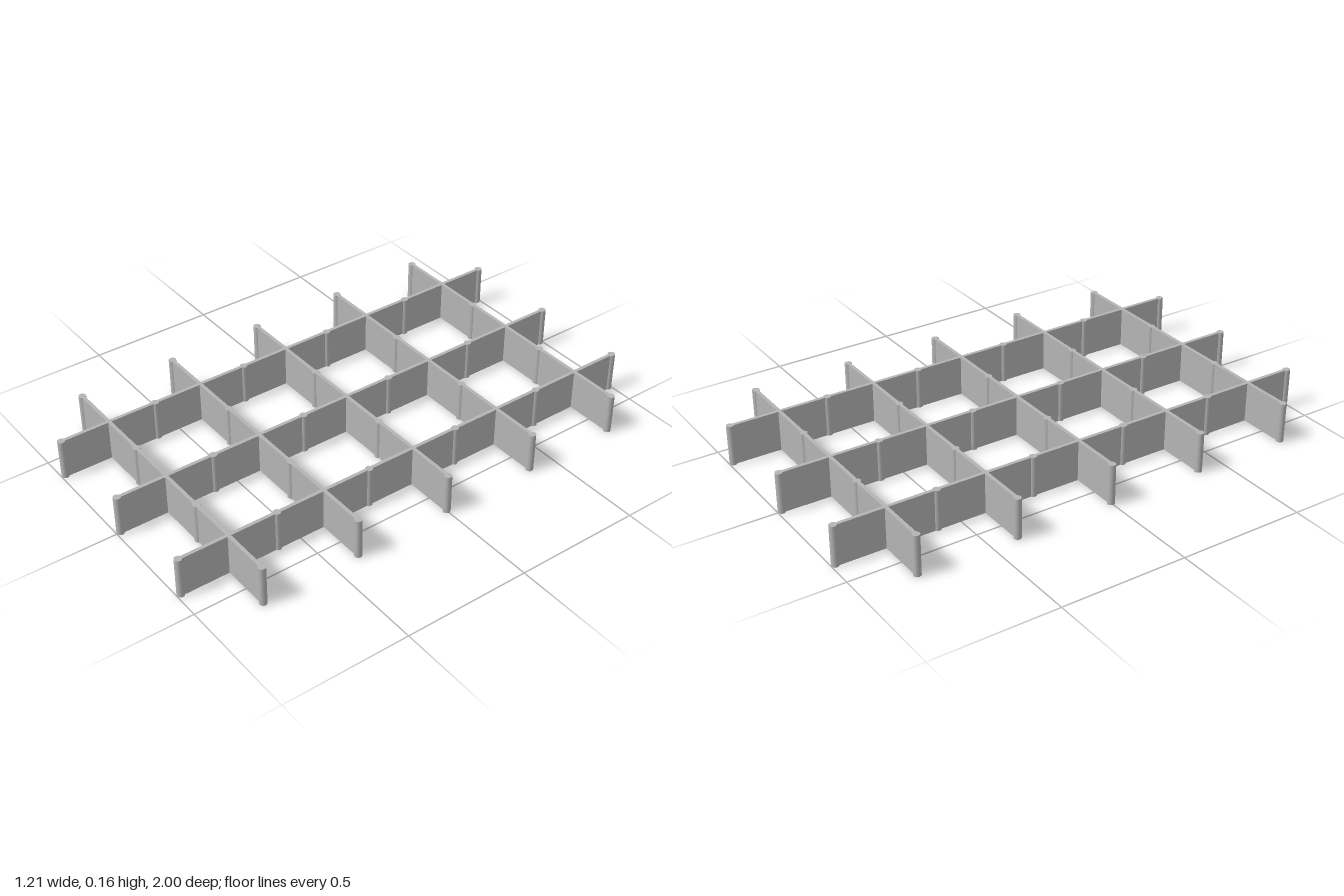
import * as THREE from 'three';

const PITCH = 0.394;      // spacing of the walls
const HEIGHT = 0.16;
const THICK = 0.014;
const POST_R = 0.0145;

export function createModel() {
  const model = new THREE.Group();
  model.name = 'dividerGrid';
  const grey = new THREE.MeshStandardMaterial({ color: 0xb4b4b4 });
  grey.name = 'grey';

  const postGeo = new THREE.CylinderGeometry(POST_R, POST_R, HEIGHT, 24);

  // A wall along x with a round post at both ends and midway between crossings
  function dividerWall(name, cells) {
    const group = new THREE.Group();
    group.name = name;
    const wall = new THREE.Mesh(new THREE.BoxGeometry(cells * PITCH, HEIGHT, THICK), grey);
    wall.name = 'wall';
    wall.position.y = HEIGHT / 2;
    group.add(wall);
    for (let i = 0; i <= cells; i++) {
      const post = new THREE.Mesh(postGeo, grey);
      post.name = 'post';
      post.position.set((i - cells / 2) * PITCH, HEIGHT / 2, 0);
      group.add(post);
    }
    model.add(group);
    return group;
  }

  // Three long walls running front to back
  for (let i = -1; i <= 1; i++) {
    const wall = dividerWall('longWall', 5);
    wall.rotation.y = Math.PI / 2;
    wall.position.x = i * PITCH;
  }

  // Five cross walls running side to side
  for (let i = -2; i <= 2; i++) {
    dividerWall('crossWall', 3).position.z = i * PITCH;
  }

  return model;
}
